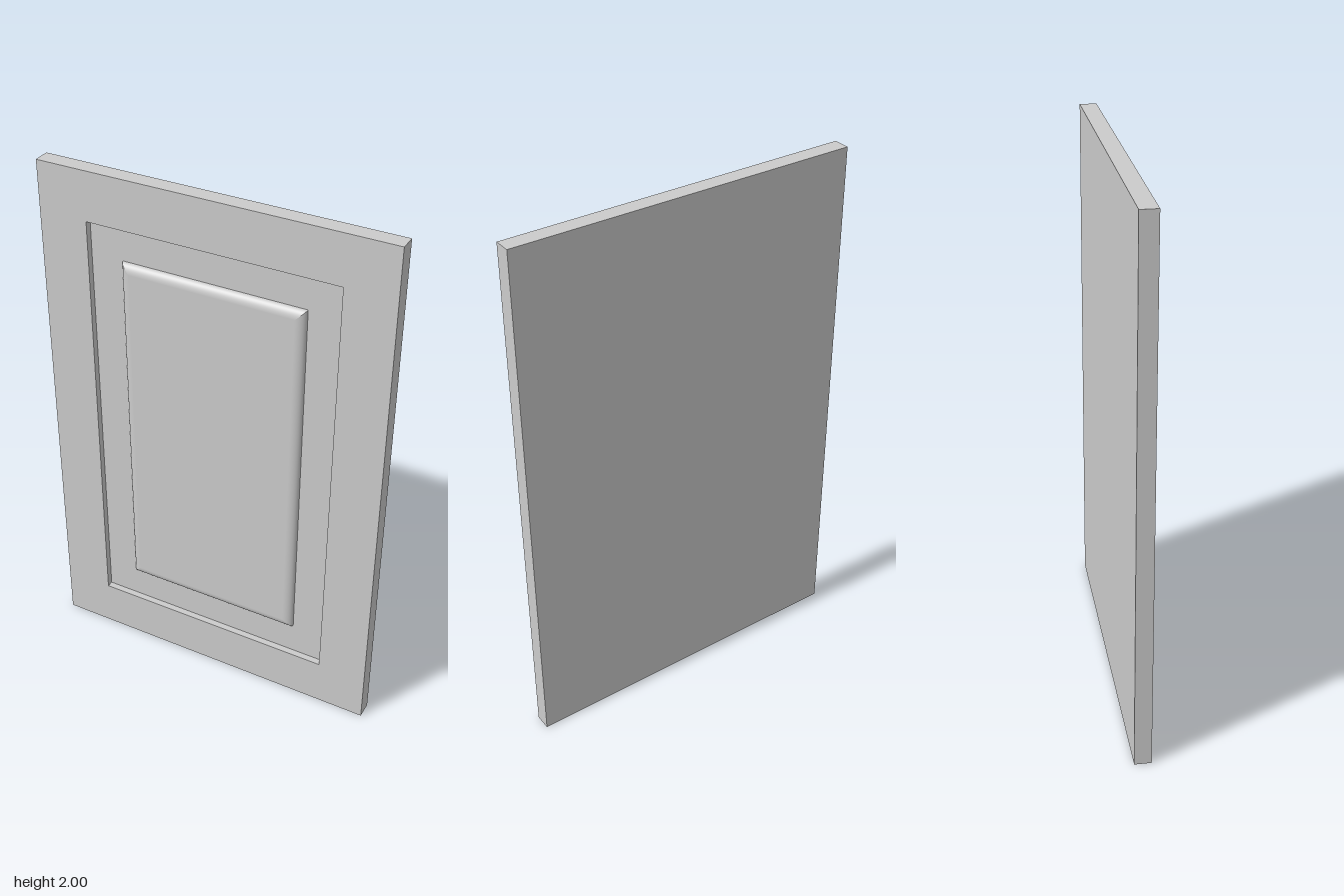
import * as THREE from 'three';

const W = 1.31, H = 2, BACK = -0.031, FRONT = 0.031, FLOOR = 0.006;
const OPEN_W = 0.94, OPEN_H = 1.63;    // recessed opening
const PANEL_W = 0.69, PANEL_H = 1.375; // raised panel at its foot
const INSET = 0.035, STEPS = 10;       // rounded edge of the raised panel

const material = new THREE.MeshStandardMaterial({ color: 0xcccccc });

function addMesh(group, name, geometry) {
  const mesh = new THREE.Mesh(geometry, material);
  mesh.name = name;
  group.add(mesh);
  return mesh;
}

function rectangle(PathType, w, h) {
  return new PathType([[-1, -1], [1, -1], [1, 1], [-1, 1]]
    .map(([x, y]) => new THREE.Vector2(x * w / 2, y * h / 2)));
}

// Quarter-round border, smooth along its profile and mitred at the corners
function roundedBorder(w, h, inset, height) {
  const positions = [], normals = [], indices = [];
  const corners = [[-1, -1], [1, -1], [1, 1], [-1, 1]];
  corners.forEach((a, side) => {
    const b = corners[(side + 1) % 4];
    const out = [(a[0] + b[0]) / 2, (a[1] + b[1]) / 2];
    const base = positions.length / 3;
    for (let i = 0; i <= STEPS; i++) {
      const t = i / STEPS * Math.PI / 2;
      const d = inset * (1 - Math.cos(t)), z = height * Math.sin(t);
      const n = new THREE.Vector2(Math.cos(t) / inset, Math.sin(t) / height).normalize();
      for (const c of [a, b]) {
        positions.push(c[0] * (w / 2 - d), c[1] * (h / 2 - d), z);
        normals.push(out[0] * n.x, out[1] * n.x, n.y);
      }
      if (i < STEPS) {
        const k = base + i * 2;
        indices.push(k, k + 1, k + 3, k, k + 3, k + 2);
      }
    }
  });
  const geometry = new THREE.BufferGeometry();
  geometry.setAttribute('position', new THREE.Float32BufferAttribute(positions, 3));
  geometry.setAttribute('normal', new THREE.Float32BufferAttribute(normals, 3));
  geometry.setIndex(indices);
  return geometry;
}

export function createModel() {
  const door = new THREE.Group();
  door.name = 'cabinetDoor';

  // Back slab, whose front is the floor of the recess
  addMesh(door, 'backSlab', new THREE.BoxGeometry(W, H, FLOOR - BACK))
    .position.set(0, H / 2, (FLOOR + BACK) / 2);

  // Flat frame around the recess
  const outline = rectangle(THREE.Shape, W, H);
  outline.holes.push(rectangle(THREE.Path, OPEN_W, OPEN_H));
  addMesh(door, 'frame', new THREE.ExtrudeGeometry(outline, { depth: FRONT - FLOOR, bevelEnabled: false }))
    .position.set(0, H / 2, FLOOR);

  // Raised centre panel
  const panel = new THREE.Group();
  panel.name = 'raisedPanel';
  panel.position.set(0, H / 2, FLOOR);
  addMesh(panel, 'panelEdge', roundedBorder(PANEL_W, PANEL_H, INSET, FRONT - FLOOR));
  addMesh(panel, 'panelFace', new THREE.PlaneGeometry(PANEL_W - 2 * INSET, PANEL_H - 2 * INSET))
    .position.z = FRONT - FLOOR;
  door.add(panel);

  return door;
}
